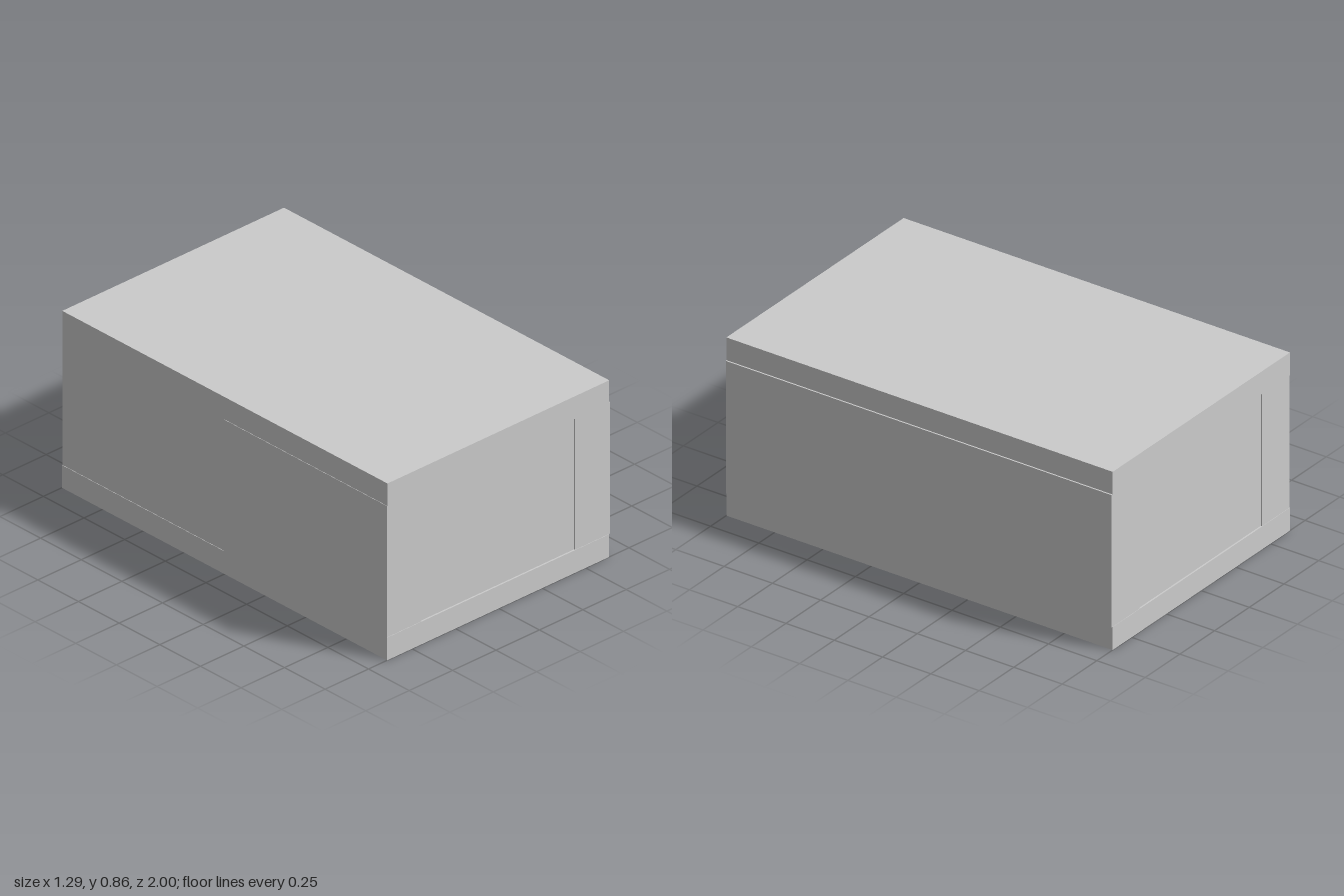
import * as THREE from 'three';

export function createModel() {
  const group = new THREE.Group();
  const material = new THREE.MeshStandardMaterial({ color: 0xcccccc, flatShading: true });

  // Box given by its minimum and maximum corners
  function block(name, [x0, y0, z0], [x1, y1, z1]) {
    const mesh = new THREE.Mesh(new THREE.BoxGeometry(x1 - x0, y1 - y0, z1 - z0), material);
    mesh.position.set((x0 + x1) / 2, (y0 + y1) / 2, (z0 + z1) / 2);
    mesh.name = name;
    group.add(mesh);
  }

  const low = 0.11, high = 0.747; // wall band between the two slabs

  // Floor and roof slabs
  block('floorSlab', [-0.643, 0, -1], [0.636, low, 1]);
  block('roofSlab', [-0.641, high, -1], [0.636, 0.856, 1]);

  // Corner posts
  for (const [end, z0, z1] of [['front', 0.875, 0.998], ['back', -0.998, -0.875]]) {
    block(end + 'RightPost', [-0.641, low, z0], [-0.443, high, z1]);
    block(end + 'LeftPost', [0.441, low, z0], [0.642, high, z1]);
  }

  // End walls, set slightly back between the posts
  block('frontWall', [-0.443, low, 0.875], [0.441, high, 0.992]);
  block('backWall', [-0.443, low, -0.992], [0.441, high, -0.875]);

  // Long side walls; the right one is made of two halves with a small step
  block('leftWall', [0.52, low, -0.998], [0.643, high, 0.998]);
  block('rightWallFront', [-0.643, low, 0], [-0.52, high, 0.998]);
  block('rightWallBack', [-0.641, low, -0.998], [-0.52, high, 0]);

  return group;
}
